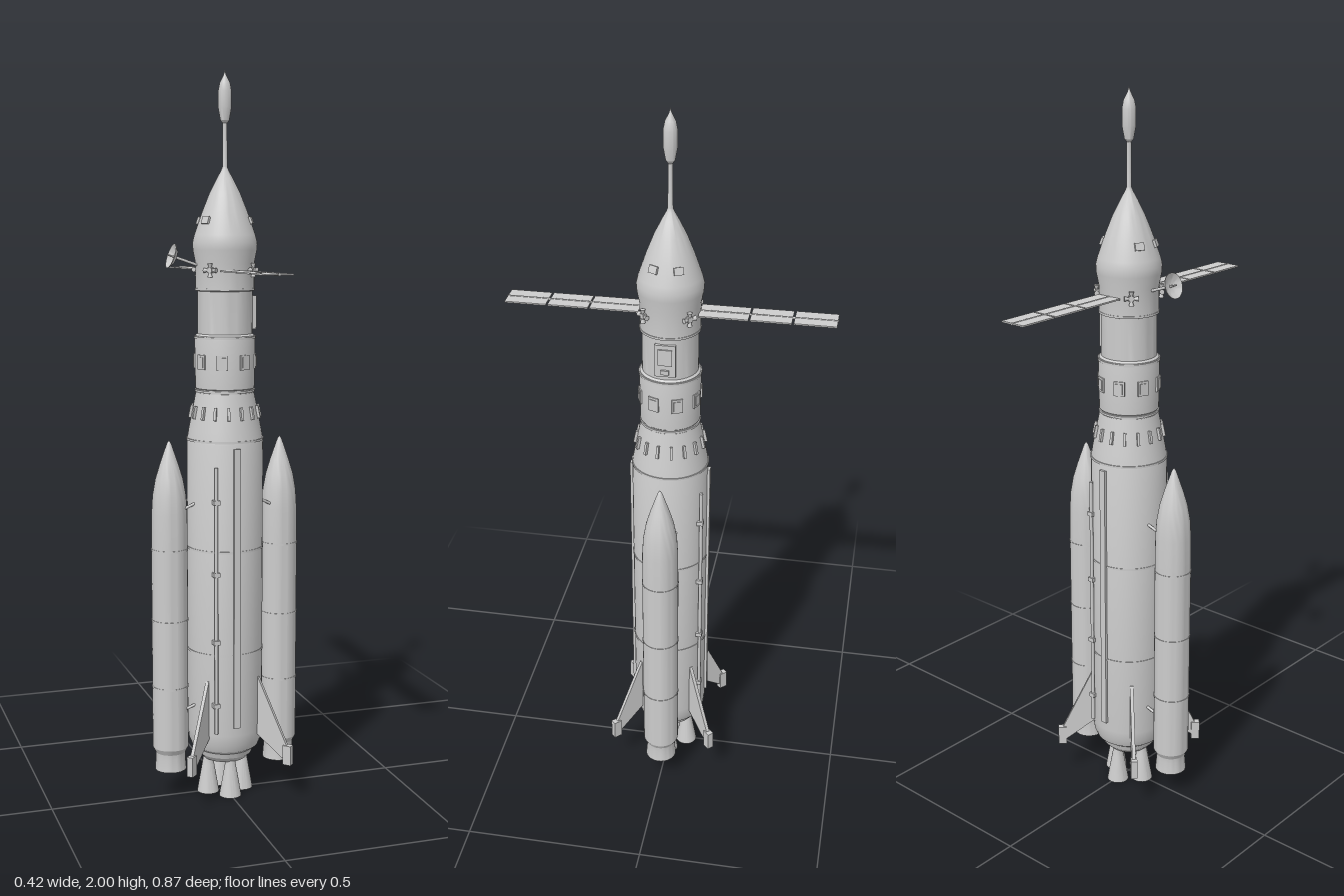
import * as THREE from 'three';
import { toCreasedNormals } from 'three/addons/utils/BufferGeometryUtils.js';

const grey = new THREE.MeshStandardMaterial({ color: 0xcccccc });
grey.name = 'light grey';

const box = (x, y, z) => new THREE.BoxGeometry(x, y, z);
const cyl = (top, bottom, h, n = 16) => new THREE.CylinderGeometry(top, bottom, h, n);

// Profile as [radius, y] pairs, listed from bottom to top
function lathe(points, segments = 48) {
  const pts = points.map(([r, y]) => new THREE.Vector2(r, y));
  return toCreasedNormals(new THREE.LatheGeometry(pts, segments), 0.4);
}

function add(parent, name, geometry, x = 0, y = 0, z = 0) {
  const mesh = new THREE.Mesh(geometry, grey);
  mesh.name = name;
  mesh.position.set(x, y, z);
  parent.add(mesh);
  return mesh;
}

// Group turned about the rocket axis; its +z points outwards
function spoke(parent, name, angle) {
  const g = new THREE.Group();
  g.name = name;
  g.rotation.y = angle;
  parent.add(g);
  return g;
}

function rod(parent, name, a, b, r) {
  const from = new THREE.Vector3(...a), to = new THREE.Vector3(...b);
  const dir = to.clone().sub(from);
  const mesh = add(parent, name, cyl(r, r, dir.length(), 10));
  mesh.position.copy(from).lerp(to, 0.5);
  mesh.quaternion.setFromUnitVectors(new THREE.Vector3(0, 1, 0), dir.normalize());
  return mesh;
}

export function createModel() {
  const rocket = new THREE.Group();
  rocket.name = 'rocket';

  // Core stage and upper stages
  add(rocket, 'coreStage', lathe([
    [0, 0.1], [0.06, 0.1], [0.075, 0.115], [0.08, 0.13], [0.094, 0.14], [0.102, 0.16],
    [0.105, 0.19], [0.105, 1.005], [0.1, 1.02], [0, 1.02]]));
  add(rocket, 'interstage', lathe([[0.104, 1.015], [0.1, 1.04], [0.08, 1.14], [0, 1.14]]));
  add(rocket, 'upperStage', lathe([
    [0, 1.138], [0.079, 1.138], [0.079, 1.15], [0.081, 1.152], [0.083, 1.285],
    [0.081, 1.295], [0.075, 1.3], [0.075, 1.415], [0.08, 1.42], [0.08, 1.49],
    [0.087, 1.525], [0.088, 1.545], [0.083, 1.565], [0.062, 1.625], [0.042, 1.675],
    [0.022, 1.715], [0.011, 1.735], [0.007, 1.745], [0.006, 1.86], [0.012, 1.868],
    [0.018, 1.9], [0.018, 1.945], [0.014, 1.965], [0.004, 1.985], [0, 2]]));
  for (const [y, r] of [[0.42, 0.105], [0.71, 0.105], [1.012, 0.105], [1.145, 0.081],
    [1.29, 0.083], [1.42, 0.08]]) add(rocket, 'seamRing', cyl(r + 0.0015, r + 0.0015, 0.006, 48), 0, y);

  // Engine bells
  const bell = lathe([[0, 0.07], [0.012, 0.07], [0.022, 0.035], [0.029, 0.001], [0.031, 0],
    [0.025, 0.035], [0.017, 0.08], [0.013, 0.105], [0.013, 0.12]], 24);
  for (let i = 0; i < 4; i++) {
    const g = spoke(rocket, 'engine', i * Math.PI / 2);
    add(g, 'engineBell', bell, 0, 0, 0.05);
  }

  // Side boosters with their struts
  const boosterBody = lathe([
    [0, 0.1], [0.036, 0.1], [0.042, 0.08], [0.044, 0.08], [0.041, 0.115], [0.042, 0.13],
    [0.05, 0.145], [0.05, 0.71], [0.049, 0.81], [0.046, 0.86], [0.038, 0.905],
    [0.026, 0.945], [0.014, 0.98], [0.006, 1.003], [0, 1.012]], 36);
  for (const side of [-1, 1]) {
    const g = new THREE.Group();
    g.name = side > 0 ? 'leftBooster' : 'rightBooster';
    rocket.add(g);
    add(g, 'boosterBody', boosterBody, side * 0.16);
    for (const y of [0.32, 0.51, 0.71])
      add(g, 'boosterSeam', cyl(0.0512, 0.0512, 0.005, 36), side * 0.16, y);
    for (const y of [0.25, 0.82]) for (const z of [-1, 1])
      rod(g, 'boosterStrut', [side * 0.095, y + 0.02, z * 0.033], [side * 0.135, y, z * 0.025], 0.004);
  }

  // Fins with tip pods
  const finShape = new THREE.Shape([[0.09, 0.35], [0.106, 0.345], [0.2, 0.15], [0.2, 0.12],
    [0.185, 0.12], [0.09, 0.19]].map(([x, y]) => new THREE.Vector2(x, y)));
  const finGeo = new THREE.ExtrudeGeometry(finShape, { depth: 0.01, bevelEnabled: false });
  finGeo.translate(0, 0, -0.005).rotateY(-Math.PI / 2);
  for (let i = 0; i < 4; i++) {
    const g = spoke(rocket, 'fin', Math.PI / 4 + i * Math.PI / 2);
    add(g, 'finBlade', finGeo);
    add(g, 'finPod', box(0.018, 0.055, 0.024), 0, 0.133, 0.197);
  }

  // Cable duct and clamped pipe, on front and back
  for (const angle of [0, Math.PI]) {
    const g = spoke(rocket, 'cableRun', angle);
    add(g, 'cableDuct', box(0.018, 0.78, 0.014), 0, 0.605, 0.105);
    rod(g, 'pipe', [-0.055, 0.2, 0.096], [-0.055, 0.945, 0.096], 0.005);
    for (const y of [0.28, 0.46, 0.65, 0.85])
      add(g, 'pipeClamp', box(0.018, 0.012, 0.018), -0.055, y, 0.094);
  }

  // Slats round the interstage and panels round the upper stage
  for (let i = 0; i < 16; i++) {
    const g = spoke(rocket, 'slat', (i + 0.5) * Math.PI / 8);
    add(g, 'interstageSlat', box(0.007, 0.035, 0.012), 0, 1.087, 0.092).rotation.x = -0.2;
  }
  for (let i = 0; i < 8; i++) {
    const g = spoke(rocket, 'stagePanel', (i + 0.5) * Math.PI / 4);
    add(g, 'panelFrame', box(0.03, 0.04, 0.008), 0, 1.225, 0.081);
    add(g, 'panelCover', box(0.02, 0.028, 0.006), 0, 1.225, 0.084);
  }

  // Thruster crosses
  for (let i = 0; i < 4; i++) {
    const g = spoke(rocket, 'thrusterCluster', Math.PI / 4 + i * Math.PI / 2);
    add(g, 'thrusterHub', box(0.014, 0.014, 0.014), 0, 1.472, 0.083);
    for (let k = 0; k < 4; k++) {
      const a = k * Math.PI / 2;
      add(g, 'thrusterNozzle', cyl(0.007, 0.003, 0.013, 10),
        -Math.sin(a) * 0.012, 1.472 + Math.cos(a) * 0.012, 0.086).rotation.z = a;
    }
  }

  // Capsule windows
  for (const a of [1.1, Math.PI - 1.1, Math.PI + 1.1, -1.1]) {
    const g = spoke(rocket, 'capsuleWindow', a);
    add(g, 'windowFrame', box(0.025, 0.02, 0.012), 0, 1.603, 0.069).rotation.x = -0.35;
  }

  // Hatch on the left side
  const hatch = spoke(rocket, 'hatch', Math.PI / 2);
  add(hatch, 'hatchFrame', box(0.055, 0.09, 0.016), 0, 1.357, 0.073);
  add(hatch, 'hatchDoor', box(0.038, 0.045, 0.006), 0, 1.368, 0.082);
  add(hatch, 'hatchStep', box(0.022, 0.012, 0.008), 0, 1.326, 0.083);

  // Solar wings, three panels each
  for (const angle of [0, Math.PI]) {
    const g = spoke(rocket, 'solarWing', angle);
    for (const [a, b] of [[0.078, 0.207], [0.211, 0.318], [0.323, 0.433]])
      add(g, 'solarPanel', box(0.074, 0.004, b - a), 0, 1.47, (a + b) / 2);
    rod(g, 'wingSpar', [0, 1.47, 0.07], [0, 1.47, 0.435], 0.0035);
  }

  // Dish antenna on the right side
  rod(rocket, 'dishArm', [-0.075, 1.484, 0], [-0.142, 1.507, 0], 0.004);
  const dish = add(rocket, 'dish', lathe([[0, 0.003], [0.02, 0.007], [0.034, 0.016]].reverse()
    .concat([[0, 0], [0.02, 0.004], [0.034, 0.014], [0.034, 0.016]]), 32), -0.137, 1.505, 0);
  dish.rotation.z = 1.25;
  const feed = add(dish, 'dishFeed', cyl(0.002, 0.003, 0.024, 8), 0, 0.013, 0);
  feed.name = 'dishFeed';

  return rocket;
}
